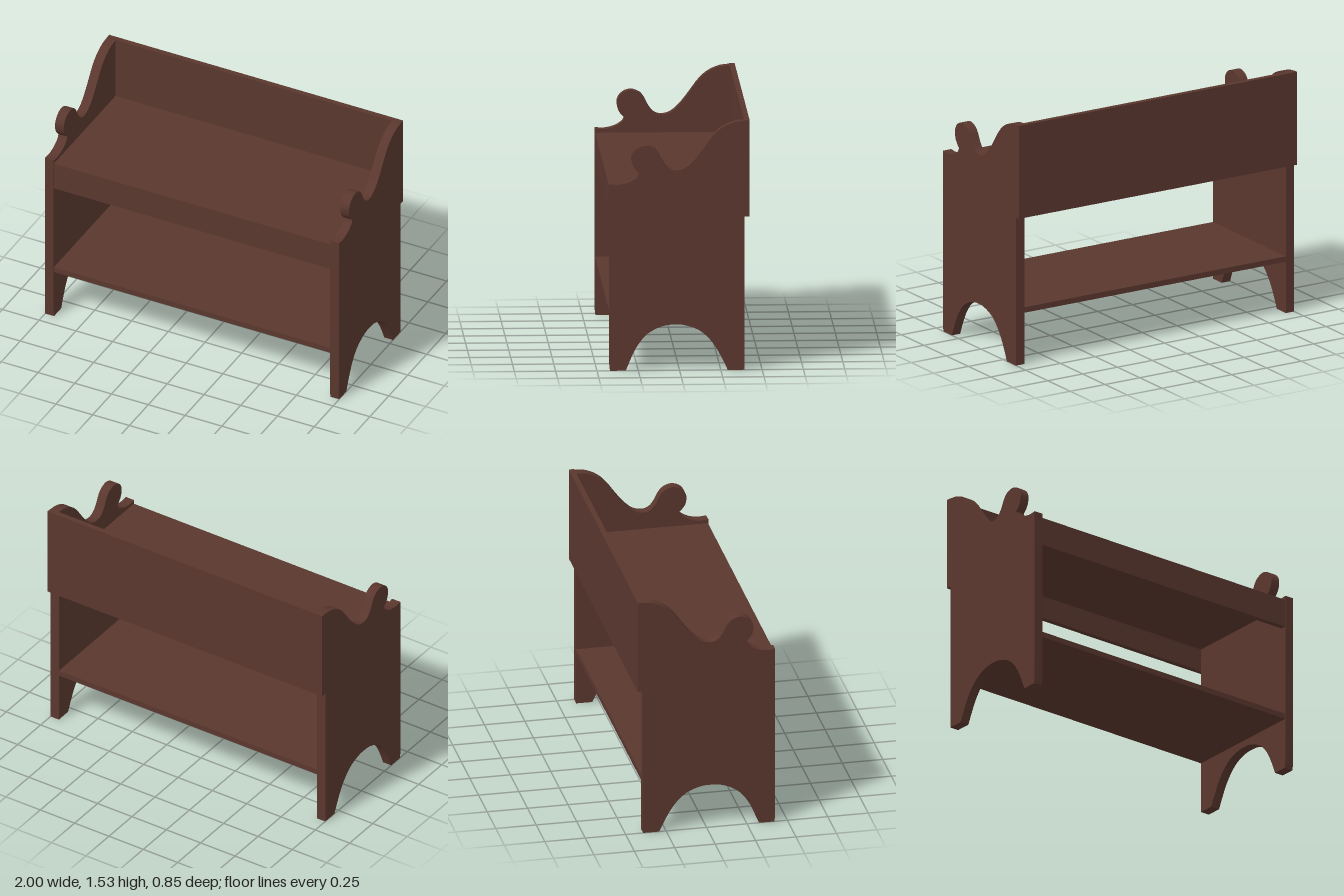
import * as THREE from 'three';
import { toCreasedNormals } from 'three/addons/utils/BufferGeometryUtils.js';

const vectors = (pts) => pts.map(([z, y]) => new THREE.Vector2(z, y));

// Outline of an end panel, as (z, y)
function panelShape() {
  const s = new THREE.Shape();
  s.moveTo(0.42, 0);
  s.lineTo(0.325, 0);
  // arch between the feet
  s.splineThru(vectors([[0.29, 0.085], [0.25, 0.16], [0.2, 0.22], [0.14, 0.257], [0.08, 0.277], [0.025, 0.281],
    [-0.03, 0.277], [-0.11, 0.25], [-0.17, 0.203], [-0.22, 0.14], [-0.26, 0.067], [-0.292, 0]]));
  s.lineTo(-0.392, 0);
  s.lineTo(-0.392, 1.528);
  // sweep down from the back, then up over the round knob
  s.splineThru(vectors([[-0.33, 1.52], [-0.26, 1.489], [-0.2, 1.435], [-0.13, 1.34], [-0.07, 1.27], [-0.02, 1.236],
    [0.03, 1.228], [0.07, 1.243], [0.1, 1.28], [0.13, 1.337], [0.16, 1.366], [0.21, 1.38], [0.262, 1.36],
    [0.29, 1.315], [0.285, 1.265], [0.268, 1.235], [0.245, 1.21]]));
  // scoop in front of the knob
  s.splineThru(vectors([[0.262, 1.183], [0.31, 1.155], [0.37, 1.142], [0.425, 1.146]]));
  s.lineTo(0.425, 0.05);
  s.closePath();
  return s;
}

export function createModel() {
  const group = new THREE.Group();
  const wood = new THREE.MeshStandardMaterial({ color: 0x5a372e });
  wood.name = 'dark brown wood';

  const add = (name, geometry) => {
    const mesh = new THREE.Mesh(geometry, wood);
    mesh.name = name;
    group.add(mesh);
  };

  // Board given by half width and its y and z ranges
  const board = (name, halfWidth, y0, y1, z0, z1) => {
    const g = new THREE.BoxGeometry(halfWidth * 2, y1 - y0, z1 - z0);
    add(name, g.translate(0, (y0 + y1) / 2, (z0 + z1) / 2));
  };

  // End panels
  const panel = new THREE.ExtrudeGeometry(panelShape(), { depth: 0.06, bevelEnabled: false, curveSegments: 3 });
  panel.rotateY(-Math.PI / 2);
  const smooth = toCreasedNormals(panel, 0.6);
  add('leftPanel', smooth.clone().translate(1, 0, 0));
  add('rightPanel', smooth.clone().translate(-0.94, 0, 0));

  // Boards between and behind the panels
  board('backBoard', 1, 0.94, 1.53, -0.425, -0.392);
  board('seat', 0.94, 1.085, 1.12, -0.392, 0.39);
  board('frontApron', 0.94, 0.94, 1.12, 0.39, 0.423);
  board('lowerShelf', 0.94, 0.325, 0.36, -0.392, 0.423);

  return group;
}
